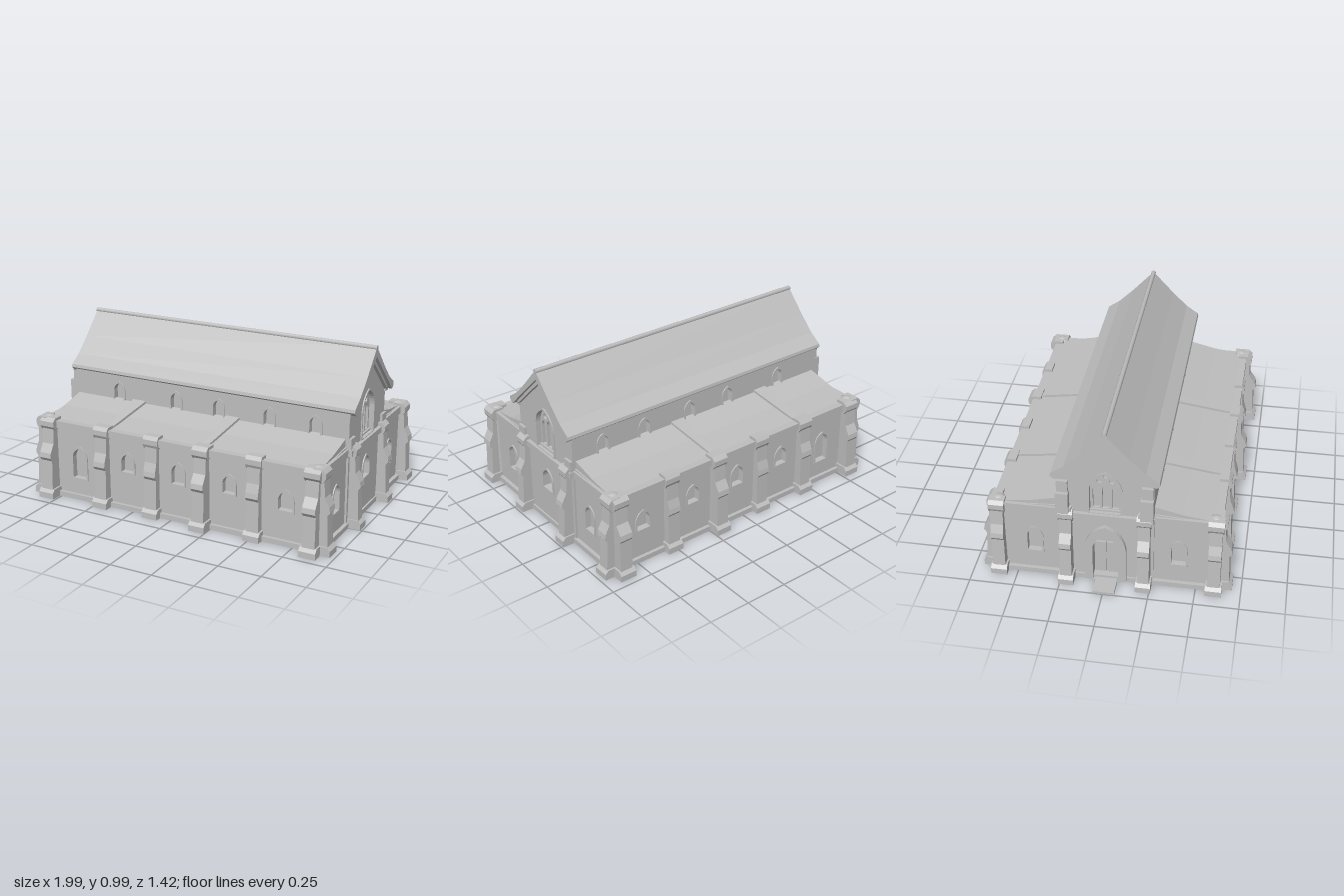
import * as THREE from 'three';

const stone = new THREE.MeshStandardMaterial({ color: 0xbebebe });
stone.name = 'pale stone';

export function createModel() {
  const model = new THREE.Group();
  model.name = 'church';

  const add = (name, geo, x = 0, y = 0, z = 0, ry = 0, parent = model) => {
    const m = new THREE.Mesh(geo, stone);
    m.name = name;
    m.position.set(x, y, z);
    m.rotation.y = ry;
    parent.add(m);
    return m;
  };
  const box = (name, x0, x1, y0, y1, z0, z1) =>
    add(name, new THREE.BoxGeometry(x1 - x0, y1 - y0, z1 - z0), (x0 + x1) / 2, (y0 + y1) / 2, (z0 + z1) / 2);
  const poly = pts => new THREE.Shape(pts.map(p => new THREE.Vector2(p[0], p[1])));
  const extrude = (shape, depth) =>
    new THREE.ExtrudeGeometry(shape, { depth, bevelEnabled: false, curveSegments: 8 });

  // Arched opening; "point" is the height of the arch above its springing
  const arch = (Type, x, y0, y1, w, point = w * 0.62) => {
    const s = new Type(), h = w / 2, sp = y1 - point;
    s.moveTo(x - h, y0);
    s.lineTo(x + h, y0);
    s.lineTo(x + h, sp);
    s.quadraticCurveTo(x + h * 0.9, sp + point * 0.75, x, y1);
    s.quadraticCurveTo(x - h * 0.9, sp + point * 0.75, x - h, sp);
    s.lineTo(x - h, y0);
    return s;
  };

  // Wall slab with arched openings [x, y0, y1, width]; local z points outwards
  const wall = (name, pts, openings, x, z, ry, depth = 0.03) => {
    const g = new THREE.Group();
    g.name = name;
    g.position.set(x, 0, z);
    g.rotation.y = ry;
    const s = poly(pts);
    for (const [ox, y0, y1, w] of openings) {
      s.holes.push(arch(THREE.Path, ox, y0, y1, w));
      const rim = arch(THREE.Shape, ox, y0 - 0.008, y1 + 0.012, w + 0.02);
      rim.holes.push(arch(THREE.Path, ox, y0, y1, w));
      add('windowSurround', extrude(rim, 0.007), 0, 0, depth, 0, g);
    }
    add('wallFace', extrude(s, depth), 0, 0, 0, 0, g);
    model.add(g);
    return g;
  };
  const rect = (x0, x1, y0, y1) => [[x0, y0], [x1, y0], [x1, y1], [x0, y1]];

  // Solid core that closes the backs of all openings
  const alongX = (name, pts, x0, x1) => add(name, extrude(poly(pts), x1 - x0), x0, 0, 0, Math.PI / 2);
  alongX('core', [[-0.58, 0], [0.58, 0], [0.58, 0.44], [0.235, 0.5], [0.235, 0.68],
    [0, 0.92], [-0.235, 0.68], [-0.235, 0.5], [-0.58, 0.44]], -0.83, 0.87);

  // Aisle and clerestory walls, cornices and aisle roofs on both long sides
  const aisleWindows = [[-0.62, 0.13, 0.315, 0.09], [-0.29, 0.23, 0.34, 0.08], [0.04, 0.22, 0.34, 0.08],
    [0.36, 0.23, 0.335, 0.075], [0.7, 0.2, 0.31, 0.085]];
  const clerestory = [-0.56, -0.17, 0.11, 0.43, 0.71].map(x => [x, 0.51, 0.625, 0.065]);
  for (const s of [1, -1]) {
    const ry = s > 0 ? 0 : Math.PI;
    const flip = list => list.map(o => [o[0] * s, o[1], o[2], o[3]]);
    const span = (y0, y1) => s > 0 ? rect(-0.86, 0.9, y0, y1) : rect(-0.9, 0.86, y0, y1);
    wall('aisleWall', span(0, 0.45), flip(aisleWindows), 0, s * 0.58, ry);
    wall('clerestoryWall', span(0.46, 0.69), flip(clerestory), 0, s * 0.235, ry);
    const zz = (a, b) => s > 0 ? [a, b] : [-b, -a];
    box('aisleCornice', -0.87, 0.91, 0.425, 0.468, ...zz(0.585, 0.63));
    box('sidePlinth', -0.88, 0.92, 0, 0.03, ...zz(0.58, 0.63));
    box('eavesMoulding', -0.85, 0.92, 0.655, 0.69, ...zz(0.25, 0.285));
    alongX('aisleRoof', [[s * 0.61, 0.435], [s * 0.61, 0.465], [s * 0.42, 0.49], [s * 0.25, 0.53],
      [s * 0.25, 0.44]], -0.85, 0.89);
    // Tapering ribs across the aisle roof
    for (const x of [-0.42, 0.2]) {
      const rib = poly([[-0.045, 0.25], [0.045, 0.25], [0.015, 0.6], [-0.015, 0.6]]);
      const g = extrude(rib, 0.014);
      g.rotateX(Math.PI / 2);
      const p = g.attributes.position;
      for (let i = 0; i < p.count; i++) {
        const z = p.getZ(i);
        p.setY(i, p.getY(i) + 0.545 - (z - 0.25) * 0.2);
      }
      g.computeVertexNormals();
      add('roofRib', g, 0, 0, 0, s > 0 ? 0 : Math.PI).position.x = x;
    }
  }

  // End walls: two aisle bays and a taller gabled nave bay at each end
  const gable = [[-0.265, 0], [0.265, 0], [0.265, 0.69], [0, 0.95], [-0.265, 0.69]];
  const traceryWindow = g => {
    const t = arch(THREE.Shape, 0, 0.47, 0.73, 0.17, 0.1);
    for (const x of [-0.052, 0, 0.052])
      t.holes.push(arch(THREE.Path, x, 0.483, x ? 0.635 : 0.65, 0.038, 0.035));
    for (const [x, y, r] of [[-0.033, 0.665, 0.016], [0.033, 0.665, 0.016], [0, 0.697, 0.014]])
      t.holes.push(new THREE.Path().absarc(x, y, r, 0, Math.PI * 2));
    add('tracery', extrude(t, 0.016), 0, 0, 0, 0, g);
  };
  for (const e of [1, -1]) {
    const ry = e * Math.PI / 2, x = e > 0 ? 0.87 : -0.83;
    const low = e > 0 ? [0, 0.22, 0.345, 0.095] : [0, 0.02, 0.32, 0.14];
    const aisleEnd = [[-0.4, 0.15, 0.305, 0.08], [0.4, 0.15, 0.305, 0.08]];
    wall('aisleEndWall', [[-0.61, 0], [0.61, 0], [0.61, 0.46], [0.27, 0.48], [-0.27, 0.48], [-0.61, 0.46]],
      [...aisleEnd, low], x, 0, ry, 0.028);
    const bay = wall('naveGable', gable, [low, [0, 0.47, 0.73, 0.17]], x, 0, ry, 0.04);
    traceryWindow(bay);
    // String course, end cornices and plinth
    const xs = (a, b) => e > 0 ? [x + a, x + b] : [x - b, x - a];
    box('stringCourse', ...xs(0.02, 0.062), 0.43, 0.465, -0.27, 0.27);
    box('endPlinth', ...xs(0, 0.05), 0, 0.03, -0.63, 0.63);
    for (const s of [1, -1])
      box('endCornice', ...xs(0, 0.04), 0.425, 0.47, s > 0 ? 0.26 : -0.62, s > 0 ? 0.62 : -0.26);
    if (e < 0) {
      // Arched porch hood, door boards and doorstep
      const hood = arch(THREE.Shape, 0, 0.01, 0.385, 0.23, 0.15);
      hood.holes.push(arch(THREE.Path, 0, 0.01, 0.32, 0.14));
      add('doorHood', extrude(hood, 0.03), 0, 0, 0.035, 0, bay);
      for (const dx of [-0.034, 0.034])
        add('doorLeaf', new THREE.BoxGeometry(0.062, 0.23, 0.012), dx, 0.125, 0.006, 0, bay);
      box('doorstep', -1, -0.86, 0, 0.016, -0.055, 0.065);
    }
  }

  // Steep nave roof with slightly swept slopes, plus ridge and verge trim
  const roof = [[0, 0.985], [0.13, 0.845], [0.22, 0.757], [0.292, 0.708], [0.296, 0.69], [0.272, 0.668], [0.25, 0.69], [0, 0.93]];
  const mirrored = [...roof, ...roof.slice(1, -1).reverse().map(p => [-p[0], p[1]])];
  alongX('naveRoof', mirrored, -0.875, 0.95);
  const ridge = new THREE.CylinderGeometry(0.014, 0.014, 1.83, 8);
  ridge.rotateZ(Math.PI / 2);
  add('ridge', ridge, 0.037, 0.98, 0);
  for (const s of [1, -1]) {
    const verge = [[0, 0.94], [s * 0.25, 0.7], [s * 0.25, 0.67], [0, 0.905]];
    alongX('verge', verge, 0.9, 0.93);
    alongX('verge', verge, -0.872, -0.855);
  }

  // Stepped buttress; local +x points away from the wall
  const buttress = (x, z, ry, d, w, top = 0.445, cap = true) => {
    const g = new THREE.Group();
    g.name = 'buttress';
    g.position.set(x, 0, z);
    g.rotation.y = ry;
    const slab = (name, pts, width) => add(name, extrude(poly(pts), width), 0, 0, -width / 2, 0, g);
    slab('buttressFoot', [[-0.02, 0], [d, 0], [d, 0.035], [d - 0.02, 0.055], [-0.02, 0.055]], w * 1.3);
    slab('buttressShaft', [[-0.02, 0], [d - 0.015, 0], [d - 0.025, 0.23], [d - 0.01, 0.25], [d - 0.015, 0.28],
      [d * 0.5, 0.33], [d * 0.4, top], [-0.02, top]], w);
    if (cap)
      slab('buttressCap', [[-0.03, 0.425], [d * 0.35, 0.41], [d * 0.55, 0.435], [d * 0.55, 0.465],
        [d * 0.3, 0.485], [-0.03, 0.485]], w * 1.25);
    model.add(g);
  };
  const sideButtresses = [[-0.81, 0.09], [-0.45, 0.07], [-0.12, 0.06], [0.2, 0.09], [0.52, 0.06], [0.87, 0.1]];
  for (const s of [1, -1]) {
    for (const [x, d] of sideButtresses) buttress(x, s * 0.61, -s * Math.PI / 2, d, 0.075);
    // End buttresses at the corners and beside the nave
    buttress(0.895, s * 0.6, 0, 0.08, 0.07);
    buttress(-0.855, s * 0.6, Math.PI, 0.07, 0.07);
    buttress(0.905, s * 0.215, 0, 0.085, 0.06);
    buttress(-0.86, s * 0.215, Math.PI, 0.095, 0.065, 0.5);
    box('upperButtress', -0.91, -0.86, 0.45, 0.6, s * 0.23 - 0.035, s * 0.23 + 0.035);
    box('upperButtress', -0.89, -0.86, 0.6, 0.67, s * 0.23 - 0.03, s * 0.23 + 0.03);
    box('upperButtress', 0.9, 0.925, 0.46, 0.53, s * 0.235 - 0.03, s * 0.235 + 0.03);
    // Rounded corner piers
    for (const x of [-0.83, 0.88]) {
      add('cornerPier', new THREE.CylinderGeometry(0.04, 0.045, 0.46, 10), x, 0.23, s * 0.595);
      add('pierCap', new THREE.SphereGeometry(0.048, 12, 8), x, 0.445, s * 0.595);
    }
  }
  return model;
}
